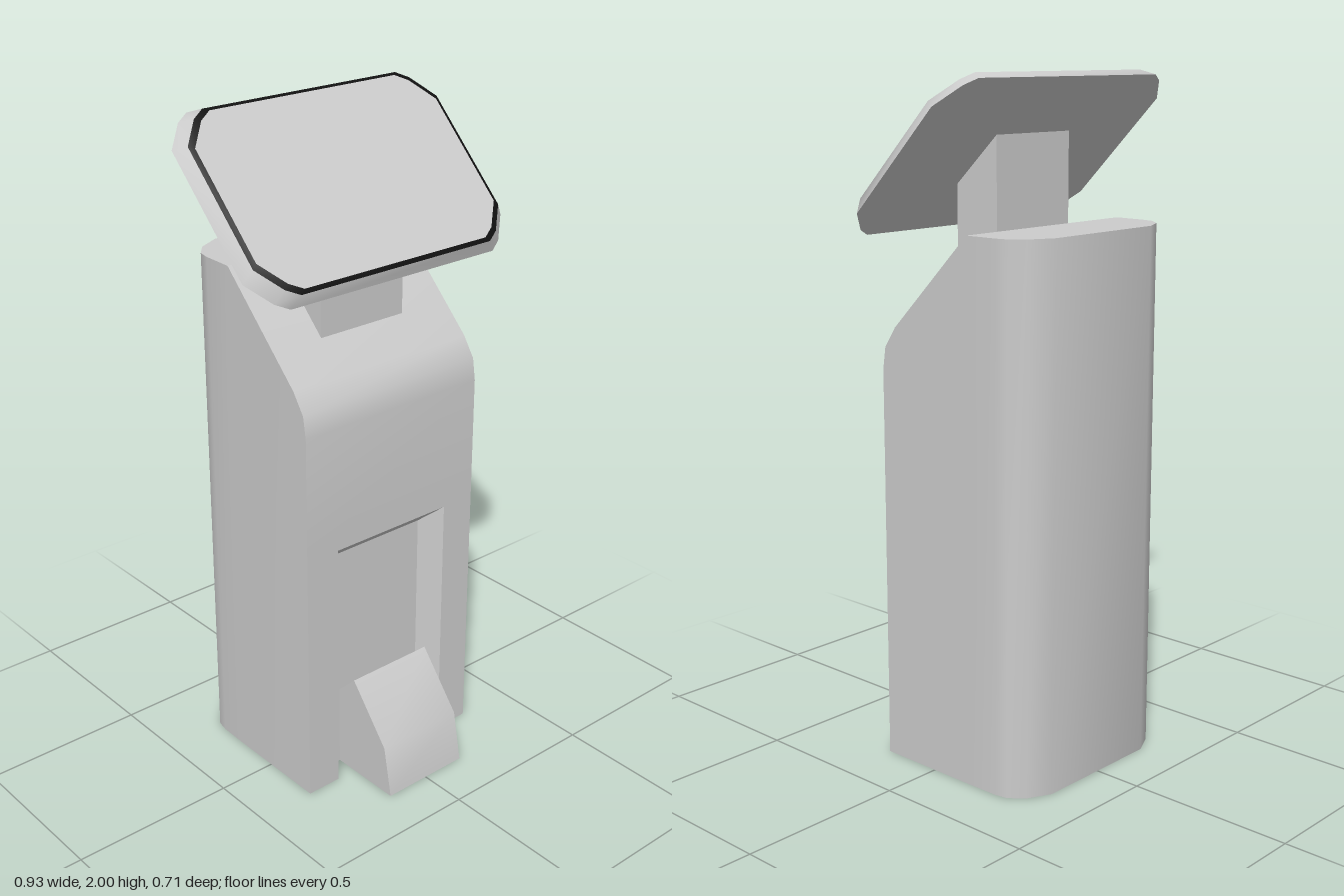
import * as THREE from 'three';
import { toCreasedNormals } from 'three/addons/utils/BufferGeometryUtils.js';

const CREASE = 0.6;

// Collects quads (corners counter-clockwise from outside) into one geometry
function quadBuilder() {
  const pos = [];
  const quad = (a, b, c, d) => pos.push(...a, ...b, ...c, ...a, ...c, ...d);
  const flip = ([x, y, z]) => [-x, y, z];
  return {
    quad,
    pair(a, b, c, d) { // quad plus its mirror image in x
      quad(a, b, c, d);
      quad(flip(d), flip(c), flip(b), flip(a));
    },
    build() {
      const g = new THREE.BufferGeometry();
      g.setAttribute('position', new THREE.Float32BufferAttribute(pos, 3));
      return toCreasedNormals(g, CREASE);
    },
  };
}

// Extrudes a side profile of [z, y] points across x
function sideProfile(points, width) {
  const shape = new THREE.Shape(points.map(([z, y]) => new THREE.Vector2(z, y)));
  const g = new THREE.ExtrudeGeometry(shape, { depth: width, bevelEnabled: false });
  g.translate(0, 0, -width / 2).rotateY(-Math.PI / 2);
  return toCreasedNormals(g, CREASE);
}

// Counter-clockwise outline of a rectangle with two-step cut corners
function cutRect(w, h) {
  const corner = [[w, h - 0.1], [w - 0.06, h - 0.025], [w - 0.1, h]];
  const back = [...corner].reverse();
  return [
    ...corner,
    ...back.map(([x, y]) => [-x, y]),
    ...corner.map(([x, y]) => [-x, -y]),
    ...back.map(([x, y]) => [x, -y]),
  ];
}

// Wall between two outlines at different depths
function band([w0, h0, z0], [w1, h1, z1]) {
  const q = quadBuilder();
  const a = cutRect(w0, h0), b = cutRect(w1, h1);
  a.forEach((p, i) => {
    const j = (i + 1) % a.length;
    q.quad([...p, z0], [...a[j], z0], [...b[j], z1], [...b[i], z1]);
  });
  return q.build();
}

function plate(w, h) {
  return new THREE.ShapeGeometry(new THREE.Shape(cutRect(w, h).map(([x, y]) => new THREE.Vector2(x, y))));
}

// Hollow cabinet, open underneath, with a recess in the front
function cabinetGeometry() {
  const q = quadBuilder();
  // half footprint from front to back: x, z, top height
  const P = [
    [0.318, 0.19, 1.17], [0.318, 0.18, 1.235], [0.318, 0.14, 1.295], [0.317, -0.14, 1.575],
    [0.315, -0.24, 1.575], [0.308, -0.277, 1.575], [0.272, -0.32, 1.575], [0.203, -0.354, 1.575],
  ];
  for (let i = 0; i < P.length - 1; i++) {
    const [x0, z0, t0] = P[i], [x1, z1, t1] = P[i + 1];
    q.pair([x0, 0, z0], [x1, 0, z1], [x1, t1, z1], [x0, t0, z0]);
    q.quad([-x0, t0, z0], [x0, t0, z0], [x1, t1, z1], [-x1, t1, z1]);
  }
  const [bx, bz, bt] = P[P.length - 1];
  q.quad([bx, 0, bz], [-bx, 0, bz], [-bx, bt, bz], [bx, bt, bz]);

  // front wall around the recess
  const [fx, fz, ft] = P[0];
  const ox = 0.207, oy = 0.79, ix = 0.167, iy = 0.73, iz = 0.12;
  q.quad([-fx, oy, fz], [fx, oy, fz], [fx, ft, fz], [-fx, ft, fz]);
  q.pair([ox, 0, fz], [fx, 0, fz], [fx, oy, fz], [ox, oy, fz]);
  // sloping recess edges and its back panel
  q.pair([ix, 0, iz], [ox, 0, fz], [ox, oy, fz], [ix, iy, iz]);
  q.quad([-ix, iy, iz], [ix, iy, iz], [ox, oy, fz], [-ox, oy, fz]);
  q.quad([-ix, 0, iz], [ix, 0, iz], [ix, iy, iz], [-ix, iy, iz]);
  return q.build();
}

export function createModel() {
  const grey = new THREE.MeshStandardMaterial({ color: 0xcccccc, side: THREE.DoubleSide });
  grey.name = 'light grey';
  const black = new THREE.MeshStandardMaterial({ color: 0x111111 });
  black.name = 'black';

  const model = new THREE.Group();
  model.name = 'kiosk';
  const add = (parent, name, geometry, material) => {
    const m = new THREE.Mesh(geometry, material);
    m.name = name;
    parent.add(m);
    return m;
  };

  add(model, 'cabinet', cabinetGeometry(), grey);

  // Wedge-shaped foot poking out of the recess
  add(model, 'foot', sideProfile([[-0.15, 0], [0.355, 0], [0.325, 0.155], [0.187, 0.325]], 0.286), grey);

  // Neck between the sloping top and the display
  add(model, 'neck', sideProfile([[-0.095, 1.52], [0.055, 1.37], [0.055, 1.69], [-0.095, 1.83]], 0.3), grey);

  // Tilted display
  const display = new THREE.Group();
  display.name = 'display';
  display.position.set(0, 1.77, -0.02);
  display.rotation.x = -Math.PI / 4;
  model.add(display);
  add(display, 'displayBack', plate(0.465, 0.304).rotateY(Math.PI), grey);
  add(display, 'displayHousing', band([0.465, 0.304, 0], [0.44, 0.287, 0.036]), grey);
  add(display, 'displayBorder', band([0.44, 0.287, 0.036], [0.426, 0.275, 0.042]), black);
  add(display, 'screen', plate(0.426, 0.275), grey).position.z = 0.042;

  return model;
}
